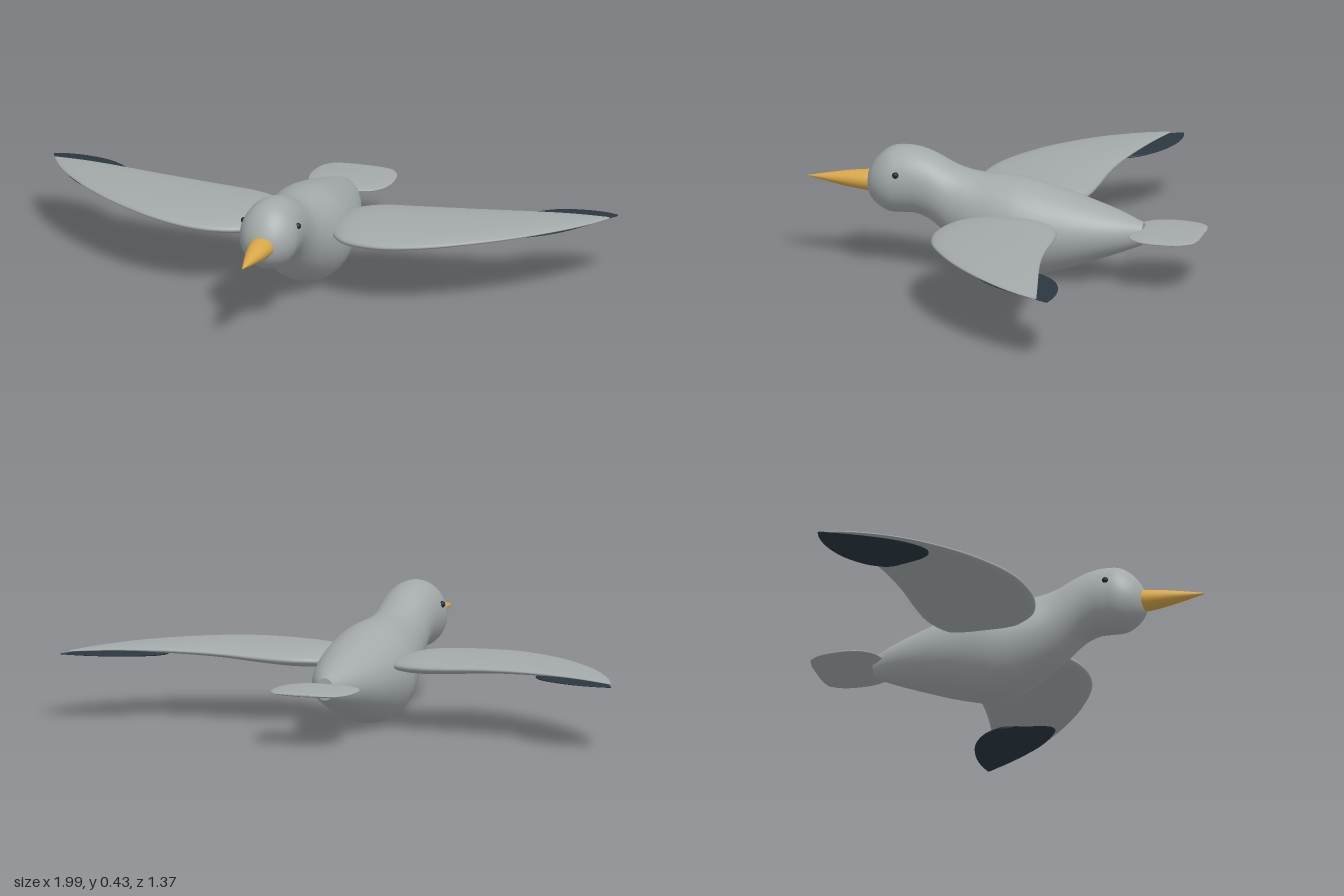
import * as THREE from 'three';

const material = (name, color) => {
  const m = new THREE.MeshStandardMaterial({ color });
  m.name = name;
  return m;
};

// Smooth loft through rows [position, ...values]; point(position, values, cos, sin) gives each ring.
function loft(rows, point, steps = 6, sides = 40) {
  const size = rows[0].length - 1;
  const curve = new THREE.CubicInterpolant(
    rows.map(r => r[0]), rows.flatMap(r => r.slice(1)), size, new Float32Array(size));
  const rings = [];
  for (let i = 0; i < rows.length - 1; i++) {
    const last = i === rows.length - 2 ? steps : steps - 1;
    for (let k = 0; k <= last; k++) {
      const s = THREE.MathUtils.lerp(rows[i][0], rows[i + 1][0], k / steps);
      const v = Array.from(curve.evaluate(s));
      const ring = [];
      for (let j = 0; j < sides; j++) {
        const a = (j / sides) * Math.PI * 2;
        ring.push(point(s, v, Math.cos(a), Math.sin(a)));
      }
      rings.push(ring);
    }
  }
  const pos = rings.flat(2);
  const index = [];
  for (let i = 0; i < rings.length - 1; i++) {
    for (let j = 0; j < sides; j++) {
      const a = i * sides + j, b = i * sides + (j + 1) % sides;
      index.push(a, b, b + sides, a, b + sides, a + sides);
    }
  }
  // End caps with their own rings, so their rims stay sharp
  [[rings[0], true], [rings[rings.length - 1], false]].forEach(([ring, flip]) => {
    const start = pos.length / 3;
    pos.push(...ring.flat());
    const centre = [0, 1, 2].map(c => ring.reduce((t, p) => t + p[c], 0) / sides);
    pos.push(...centre);
    for (let j = 0; j < sides; j++) {
      const a = start + j, b = start + (j + 1) % sides;
      index.push(...(flip ? [start + sides, b, a] : [start + sides, a, b]));
    }
  });
  // Signed volume decides whether the faces need turning outward
  const at = i => new THREE.Vector3().fromArray(pos, i * 3);
  let volume = 0;
  for (let i = 0; i < index.length; i += 3) {
    volume += at(index[i]).dot(at(index[i + 1]).cross(at(index[i + 2])));
  }
  if (volume < 0) index.reverse();
  const geometry = new THREE.BufferGeometry();
  geometry.setAttribute('position', new THREE.Float32BufferAttribute(pos, 3));
  geometry.setIndex(index);
  geometry.computeVertexNormals();
  return geometry;
}

export function createModel() {
  const grey = material('grey plumage', 0xa3a9a9);
  const dark = material('dark feathers', 0x2b3740);
  const gold = material('golden beak', 0xd9a748);
  const black = material('eye black', 0x20262b);
  const bird = new THREE.Group();
  bird.name = 'bird';
  const add = (name, geometry, mat) => {
    const mesh = new THREE.Mesh(geometry, mat);
    mesh.name = name;
    bird.add(mesh);
    return mesh;
  };

  // Body and head: z, bottom, top, half width
  const body = [
    [-0.48, 0.138, 0.215, 0.032], [-0.4, 0.106, 0.247, 0.077], [-0.3, 0.069, 0.28, 0.115],
    [-0.2, 0.034, 0.31, 0.141], [-0.06, 0.002, 0.344, 0.157], [0, 0.012, 0.349, 0.15],
    [0.1, 0.062, 0.354, 0.125], [0.17, 0.108, 0.373, 0.108], [0.25, 0.176, 0.412, 0.1],
    [0.3, 0.197, 0.427, 0.1], [0.35, 0.198, 0.431, 0.101], [0.4, 0.2, 0.421, 0.098],
    [0.445, 0.226, 0.383, 0.074], [0.465, 0.249, 0.352, 0.05], [0.477, 0.275, 0.325, 0.025],
  ];
  add('body', loft(body, (z, [lo, hi, w], c, s) =>
    [w * c, (lo + hi) / 2 + (hi - lo) / 2 * s, z]), grey);

  // Tail fan: z, half width, half thickness
  const tail = [
    [-0.686, 0.06, 0.002], [-0.68, 0.095, 0.005], [-0.66, 0.122, 0.008], [-0.63, 0.138, 0.01],
    [-0.58, 0.146, 0.013], [-0.52, 0.142, 0.013], [-0.48, 0.124, 0.011], [-0.45, 0.088, 0.007],
    [-0.435, 0.04, 0.003],
  ];
  add('tail', loft(tail, (z, [w, t], c, s) => [w * c, 0.185 + t * s, z]), grey);

  // Beak
  const profile = new THREE.SplineCurve([
    [0.034, 0], [0.035, 0.02], [0.028, 0.08], [0.016, 0.15], [0.001, 0.225],
  ].map(p => new THREE.Vector2(...p))).getPoints(20);
  const beak = new THREE.LatheGeometry([new THREE.Vector2(0, 0), ...profile], 32);
  beak.rotateX(Math.PI / 2).scale(1.2, 1, 1).translate(0, 0.3, 0.46);
  add('beak', beak, gold);

  // Wings and dark tips: x, leading z, trailing z, height, half thickness
  const wing = [
    [0.1, 0.02, -0.13, 0.217, 0.014], [0.13, 0.075, -0.18, 0.219, 0.024],
    [0.17, 0.125, -0.21, 0.221, 0.031], [0.23, 0.155, -0.232, 0.223, 0.034],
    [0.33, 0.17, -0.243, 0.227, 0.032], [0.47, 0.145, -0.25, 0.235, 0.026],
    [0.6, 0.08, -0.265, 0.239, 0.021], [0.72, -0.005, -0.287, 0.24, 0.016],
    [0.85, -0.13, -0.314, 0.238, 0.01], [0.94, -0.25, -0.332, 0.233, 0.006],
    [0.98, -0.325, -0.34, 0.23, 0.003],
  ];
  const wingTip = [
    [0.675, -0.19, -0.25, 0.224, 0.004], [0.7, -0.1, -0.293, 0.226, 0.009],
    [0.74, -0.07, -0.333, 0.228, 0.01], [0.79, -0.09, -0.364, 0.229, 0.009],
    [0.87, -0.165, -0.388, 0.228, 0.007], [0.95, -0.285, -0.392, 0.227, 0.004],
    [0.997, -0.37, -0.384, 0.226, 0.002],
  ];
  for (const [side, sign] of [['left', 1], ['right', -1]]) {
    const section = (x, [lead, trail, y, t], c, s) =>
      [sign * x, y + t * s, (lead + trail) / 2 + (lead - trail) / 2 * c];
    add(side + 'Wing', loft(wing, section), grey);
    add(side + 'WingTip', loft(wingTip, section), dark);
    const eye = add(side + 'Eye', new THREE.SphereGeometry(0.011, 20, 14), black);
    eye.position.set(sign * 0.095, 0.35, 0.36);
  }
  return bird;
}
